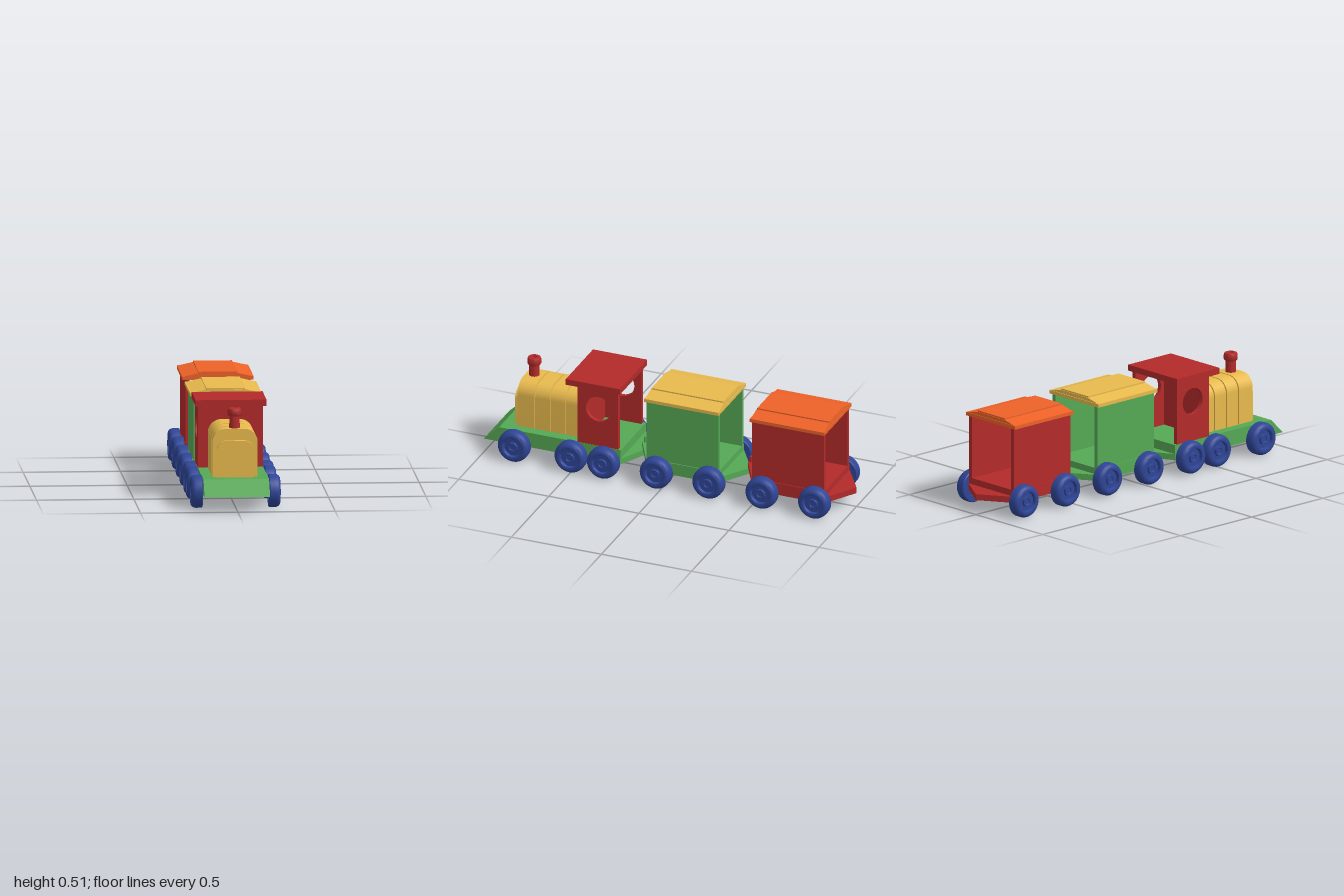
import * as THREE from 'three';
import { toCreasedNormals } from 'three/addons/utils/BufferGeometryUtils.js';

const paint = (color) => new THREE.MeshStandardMaterial({ color });
const RED = paint(0xb32a2a), GREEN = paint(0x55a855), YELLOW = paint(0xe8ba4e);
const BLUE = paint(0x2f4596), ORANGE = paint(0xee6228);
const CX = -0.003; // slight sideways offset of the engine

function add(parent, name, geo, mat) {
  const mesh = new THREE.Mesh(geo, mat);
  mesh.name = name;
  parent.add(mesh);
  return mesh;
}

// Box given by its limits on each axis
function box(x0, x1, y0, y1, z0, z1) {
  return new THREE.BoxGeometry(x1 - x0, y1 - y0, z1 - z0)
    .translate((x0 + x1) / 2, (y0 + y1) / 2, (z0 + z1) / 2);
}

const poly = (pts) => new THREE.Shape(pts.map(([a, b]) => new THREE.Vector2(a, b)));
const extrude = (shape, depth) =>
  new THREE.ExtrudeGeometry(shape, { depth, bevelEnabled: false, curveSegments: 16 });

// (z, y) outline extruded across x
const acrossX = (shape, x0, x1) =>
  extrude(shape, x1 - x0).rotateY(-Math.PI / 2).translate(x1, 0, 0);
// (x, z) outline extruded upwards
const upY = (shape, y0, y1) =>
  extrude(shape, y1 - y0).rotateX(Math.PI / 2).translate(0, y1, 0);
// (x, y) outline extruded along z
const alongZ = (shape, z0, z1) => extrude(shape, z1 - z0).translate(0, 0, z0);

// Arch with rounded upper corners
function arch(w, y0, y1, r) {
  const s = new THREE.Shape();
  s.moveTo(CX - w, y0);
  s.lineTo(CX + w, y0);
  s.lineTo(CX + w, y1 - r);
  s.absarc(CX + w - r, y1 - r, r, 0, Math.PI / 2);
  s.lineTo(CX - w + r, y1);
  s.absarc(CX - w + r, y1 - r, r, Math.PI / 2, Math.PI);
  s.closePath();
  return s;
}

const smooth = (geo) => toCreasedNormals(geo, 0.6);
const lathe = (pts, n) =>
  smooth(new THREE.LatheGeometry(pts.map(([r, y]) => new THREE.Vector2(r, y)), n));

// Tyre with rounded outer shoulder, recessed disc and raised hub
const wheelGeo = lathe([
  [0, 0.018], [0.05, 0.018], [0.054, 0], [0.08, 0], [0.085, 0.005], [0.085, 0.034],
  [0.083, 0.045], [0.077, 0.054], [0.068, 0.059], [0.06, 0.06], [0.052, 0.058],
  [0.048, 0.042], [0.027, 0.042], [0.025, 0.053], [0.017, 0.053], [0.014, 0.048], [0, 0.048],
], 36).rotateZ(-Math.PI / 2);

function addWheels(parent, positions) {
  for (const z of positions) for (const side of [1, -1]) {
    const wheel = add(parent, side > 0 ? 'leftWheel' : 'rightWheel', wheelGeo, BLUE);
    wheel.position.set(side * 0.17 + CX / 2, 0.086, z);
    if (side < 0) wheel.rotation.y = Math.PI;
  }
}

// Triangular coupling plate
function coupling(parent, name, mat, zBase, zTip, y0, y1) {
  add(parent, name, upY(poly([[-0.175, zBase], [0.175, zBase], [0, zTip]]), y0, y1), mat);
}

function makeEngine() {
  const g = new THREE.Group();
  g.name = 'engine';
  add(g, 'chassis', acrossX(poly([[0.24, 0.078], [1, 0.078], [0.915, 0.16], [0.24, 0.16]]),
    -0.171, 0.166), GREEN);
  coupling(g, 'rearCoupling', GREEN, 0.241, 0.155, 0.08, 0.112);

  // Boiler: broad bands over a slightly smaller core, and a front plate
  add(g, 'boilerCore', smooth(alongZ(arch(0.108, 0.16, 0.398, 0.062), 0.48, 0.825)), YELLOW);
  for (const [z0, z1] of [[0.74, 0.835], [0.655, 0.733], [0.57, 0.648], [0.48, 0.563]]) {
    add(g, 'boilerBand', smooth(alongZ(arch(0.116, 0.16, 0.409, 0.07), z0, z1)), YELLOW);
  }
  add(g, 'boilerFront', smooth(alongZ(arch(0.094, 0.16, 0.35, 0.05), 0.83, 0.858)), YELLOW);

  const chimney = lathe([
    [0, 0.39], [0.028, 0.39], [0.026, 0.47], [0.032, 0.471], [0.036, 0.478], [0.036, 0.5],
    [0.032, 0.509], [0.026, 0.512], [0.014, 0.512], [0.011, 0.495], [0, 0.495],
  ], 28);
  add(g, 'chimney', chimney, RED).position.set(CX, 0, 0.79);

  // Cab: open at the rear, round side windows
  const side = poly([[0.255, 0.16], [0.48, 0.16], [0.48, 0.487], [0.255, 0.487]]);
  side.holes.push(new THREE.Path().absarc(0.365, 0.37, 0.07, 0, Math.PI * 2, true));
  add(g, 'cabRightWall', smooth(acrossX(side, -0.17, -0.148)), RED);
  add(g, 'cabLeftWall', smooth(acrossX(side, 0.142, 0.164)), RED);
  add(g, 'cabFrontWall', box(-0.15, 0.144, 0.16, 0.487, 0.458, 0.48), RED);
  add(g, 'cabRoof', box(-0.185, 0.179, 0.484, 0.516, 0.24, 0.54), RED);

  addWheels(g, [0.82, 0.505, 0.325]);
  return g;
}

function makeWagon(name, bodyMat, roofMat, z) {
  const g = new THREE.Group();
  g.name = name;
  add(g, 'floor', box(-0.172, 0.172, 0.077, 0.143, -0.2, 0.2), bodyMat);
  coupling(g, 'frontCoupling', bodyMat, 0.199, 0.293, 0.113, 0.143);
  coupling(g, 'rearCoupling', bodyMat, -0.199, -0.31, 0.078, 0.11);
  add(g, 'couplingPin', new THREE.CylinderGeometry(0.008, 0.008, 0.09, 16)
    .translate(0, 0.13, 0.275), bodyMat);
  for (const s of [1, -1]) {
    add(g, 'sideWall', box(-0.01, 0.01, 0.14, 0.48, -0.2, 0.2).translate(s * 0.157, 0, 0), bodyMat);
  }
  // Roof: lower slab, gently pitched sides and a raised middle panel
  add(g, 'roofSlab', box(-0.183, 0.183, 0.472, 0.49, -0.207, 0.207), roofMat);
  add(g, 'roofPitch', alongZ(poly([[-0.18, 0.489], [0.18, 0.489], [0.1, 0.507], [-0.1, 0.507]]),
    -0.203, 0.203), roofMat);
  add(g, 'roofPanel', box(-0.1, 0.1, 0.5, 0.514, -0.2, 0.2), roofMat);

  addWheels(g, [0.135, -0.157]);
  g.position.z = z;
  return g;
}

export function createModel() {
  const train = new THREE.Group();
  train.name = 'toyTrain';
  train.add(makeEngine());
  train.add(makeWagon('middleWagon', GREEN, YELLOW, -0.103));
  train.add(makeWagon('rearWagon', RED, ORANGE, -0.69));
  return train;
}
